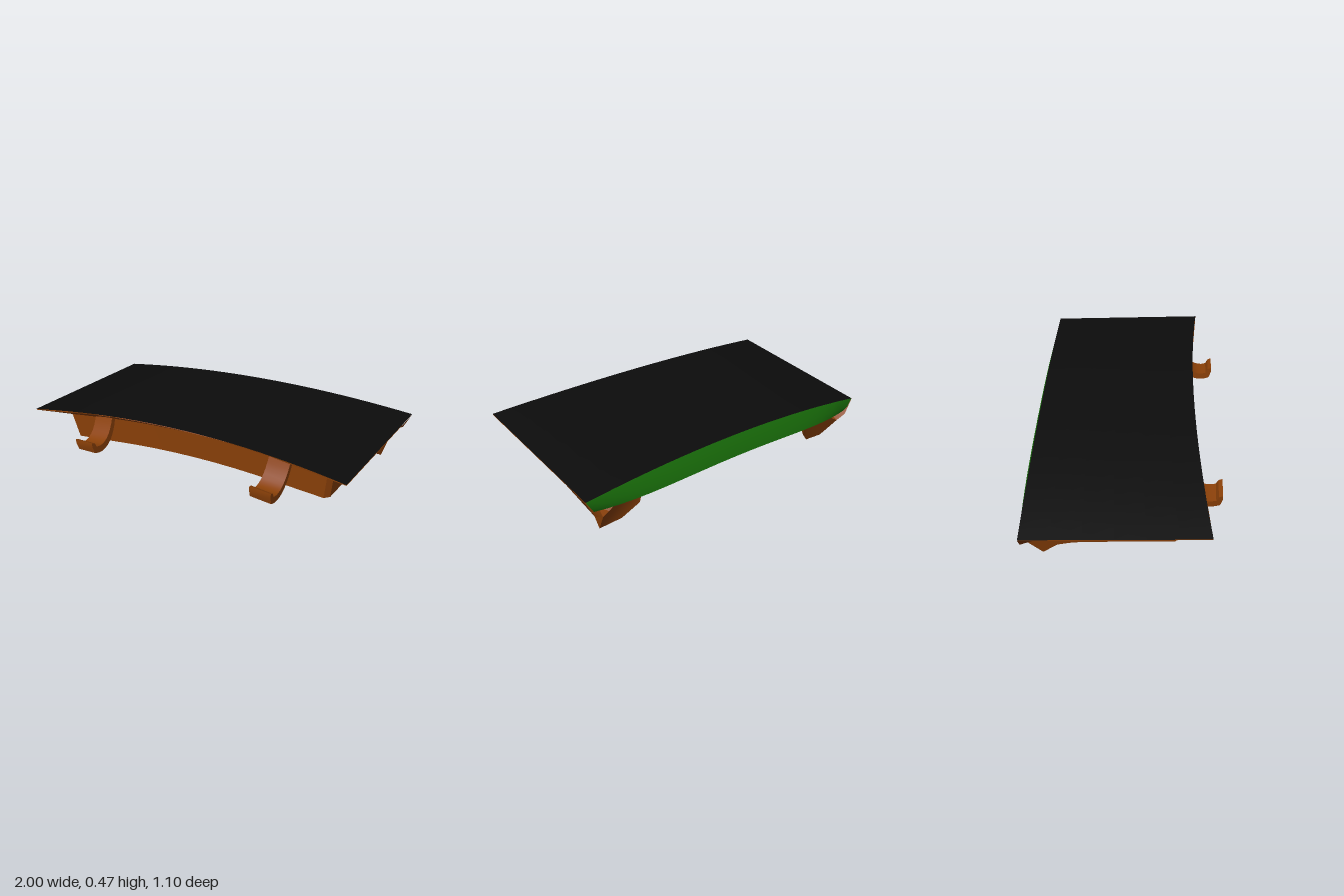
import * as THREE from 'three';
import { toCreasedNormals } from 'three/addons/utils/BufferGeometryUtils.js';

const material = (color) => new THREE.MeshStandardMaterial({ color, side: THREE.DoubleSide });
const black = material(0x0c0c0c);
const brown = material(0x8a4008);
const green = material(0x1c780c);

// Point on the curved cover: u runs right to left, t front to back,
// drop is the distance below it, leaning slightly inward on the lower side
function at(u, t, drop = 0) {
  const front = [0.45 + 0.07 * u - 0.057 * u * u, 0.387 - 0.04 * u + 0.055 * u * u];
  const back = [0.392 + 0.08 * u - 0.062 * u * u, -0.508 - 0.033 * u];
  return [
    u + drop * (0.08 - 0.05 * u),
    THREE.MathUtils.lerp(front[0], back[0], t) - drop,
    THREE.MathUtils.lerp(front[1], back[1], t) - drop * 0.045,
  ];
}

// Surface through rows of points
function skin(name, rows, mat, crease = 0.7) {
  const n = rows[0].length;
  const index = [];
  for (let i = 0; i < rows.length - 1; i++) {
    for (let j = 0; j < n - 1; j++) {
      const a = i * n + j;
      index.push(a, a + 1, a + n, a + 1, a + n + 1, a + n);
    }
  }
  const geo = new THREE.BufferGeometry();
  geo.setAttribute('position', new THREE.Float32BufferAttribute(rows.flat(2), 3));
  geo.setIndex(index);
  const mesh = new THREE.Mesh(toCreasedNormals(geo, crease), mat);
  mesh.name = name;
  return mesh;
}

const range = (a, b, n) => Array.from({ length: n + 1 }, (_, i) => a + ((b - a) * i) / n);

// Frame sections from a rear foot to the front corner, each as [u, t, drop]:
// cover edge, flange middle, wall top, wall bottom, inner bottom, inner middle, inner top
const armSections = [
  [[1, 1, 0.004], [0.955, 1, 0.1], [0.9, 0.985, 0.14], [0.87, 0.89, 0.28], [0.73, 0.89, 0.285], [0.64, 0.93, 0.21], [0.62, 0.97, 0.02]],
  [[1, 0.82, 0.004], [0.94, 0.82, 0.04], [0.88, 0.82, 0.075], [0.86, 0.81, 0.232], [0.81, 0.8, 0.232], [0.69, 0.82, 0.15], [0.65, 0.85, 0.015]],
  [[1, 0.72, 0.004], [0.938, 0.72, 0.037], [0.875, 0.72, 0.07], [0.855, 0.72, 0.22], [0.84, 0.72, 0.22], [0.76, 0.72, 0.12], [0.72, 0.73, 0.015]],
  [[1, 0.4, 0.004], [0.935, 0.4, 0.036], [0.87, 0.4, 0.068], [0.85, 0.4, 0.22], [0.835, 0.4, 0.22], [0.765, 0.43, 0.12], [0.73, 0.48, 0.015]],
  [[1, 0, 0.004], [0.935, 0.078, 0.036], [0.87, 0.155, 0.068], [0.85, 0.155, 0.22], [0.825, 0.18, 0.22], [0.74, 0.31, 0.12], [0.69, 0.405, 0.015]],
  [[1, 0, 0.004], [0.922, 0.062, 0.037], [0.845, 0.124, 0.07], [0.825, 0.124, 0.222], [0.795, 0.147, 0.222], [0.69, 0.26, 0.12], [0.63, 0.36, 0.015]],
];
const mirror = (section) => section.map(([u, t, d]) => [-u, t, d]);

// Hooked strip projecting from the front wall
function hook(name, x, y, z, roll) {
  const s = new THREE.Shape();
  s.moveTo(0.28, 0.42);
  s.bezierCurveTo(0.31, 0.33, 0.36, 0.25, 0.44, 0.25);
  s.quadraticCurveTo(0.47, 0.25, 0.5, 0.265);
  s.lineTo(0.513, 0.31);
  s.lineTo(0.511, 0.335);
  s.lineTo(0.49, 0.325);
  s.lineTo(0.478, 0.297);
  s.bezierCurveTo(0.41, 0.27, 0.35, 0.32, 0.312, 0.415);
  s.closePath();
  const geo = new THREE.ExtrudeGeometry(s, { depth: 0.125, bevelEnabled: false, curveSegments: 8 });
  geo.translate(-0.39, -0.33, -0.0625);
  geo.rotateY(-Math.PI / 2);
  const mesh = new THREE.Mesh(toCreasedNormals(geo, 0.6), brown);
  mesh.name = name;
  mesh.position.set(x, y, z);
  mesh.rotation.z = roll;
  return mesh;
}

export function createModel() {
  const group = new THREE.Group();

  // Curved top cover
  group.add(skin('topCover', range(0, 1, 6).map((t) => range(-1, 1, 24).map((u) => at(u, t))), black));

  // U-shaped frame: right arm, front run, left arm
  const frontSections = range(0.56, -0.56, 8).map((u) => [
    [u, 0, 0.004], [u, 0.06, 0.037], [u, 0.12, 0.07], [u, 0.12, 0.23], [u, 0.145, 0.23], [u, 0.245, 0.12], [u, 0.35, 0.015],
  ]);
  const sections = [
    ...armSections, ...frontSections, ...armSections.map(mirror).reverse(),
  ].map((section) => section.map((p) => at(...p)));
  const strip = (from, to) => sections.map((s) => s.slice(from, to + 1));
  const frame = new THREE.Group();
  frame.name = 'frame';
  frame.add(
    skin('underFlange', strip(0, 2), brown),
    skin('outerWall', strip(2, 3), brown),
    skin('bottomRim', strip(3, 4), brown),
    skin('innerWall', strip(4, 6), brown, 1.2),
  );

  // Closed rear ends of the two feet
  for (const [name, section] of [['leftFootEnd', sections[0]], ['rightFootEnd', sections.at(-1)]]) {
    const ring = section.slice(2);
    frame.add(skin(name, [ring, ring.map(() => ring[4])], brown));
  }

  // Thin lip joining the feet under the cover
  frame.add(skin('rearLip', range(-0.65, 0.65, 12).map((u) => [
    at(u, 0.89, 0.01), at(u, 0.9, 0.09), at(u, 0.92, 0.09), at(u, 0.93, 0.01),
  ]), brown));
  group.add(frame);

  // Bulging rear panel, tapering at both ends
  group.add(skin('rearPanel', range(-1, 1, 24).map((u) => {
    const bulge = 1 - u ** 4;
    return [at(u, 1), at(u * 0.97, 1 + 0.02 * bulge, 0.05 + 0.015 * bulge), at(u * 0.95, 0.985 + 0.041 * bulge, 0.085 + 0.033 * bulge)];
  }), green));

  // Front hooks
  group.add(hook('leftHook', 0.588, 0.335, 0.385, -0.02));
  group.add(hook('rightHook', -0.56, 0.265, 0.425, 0.1));
  return group;
}
